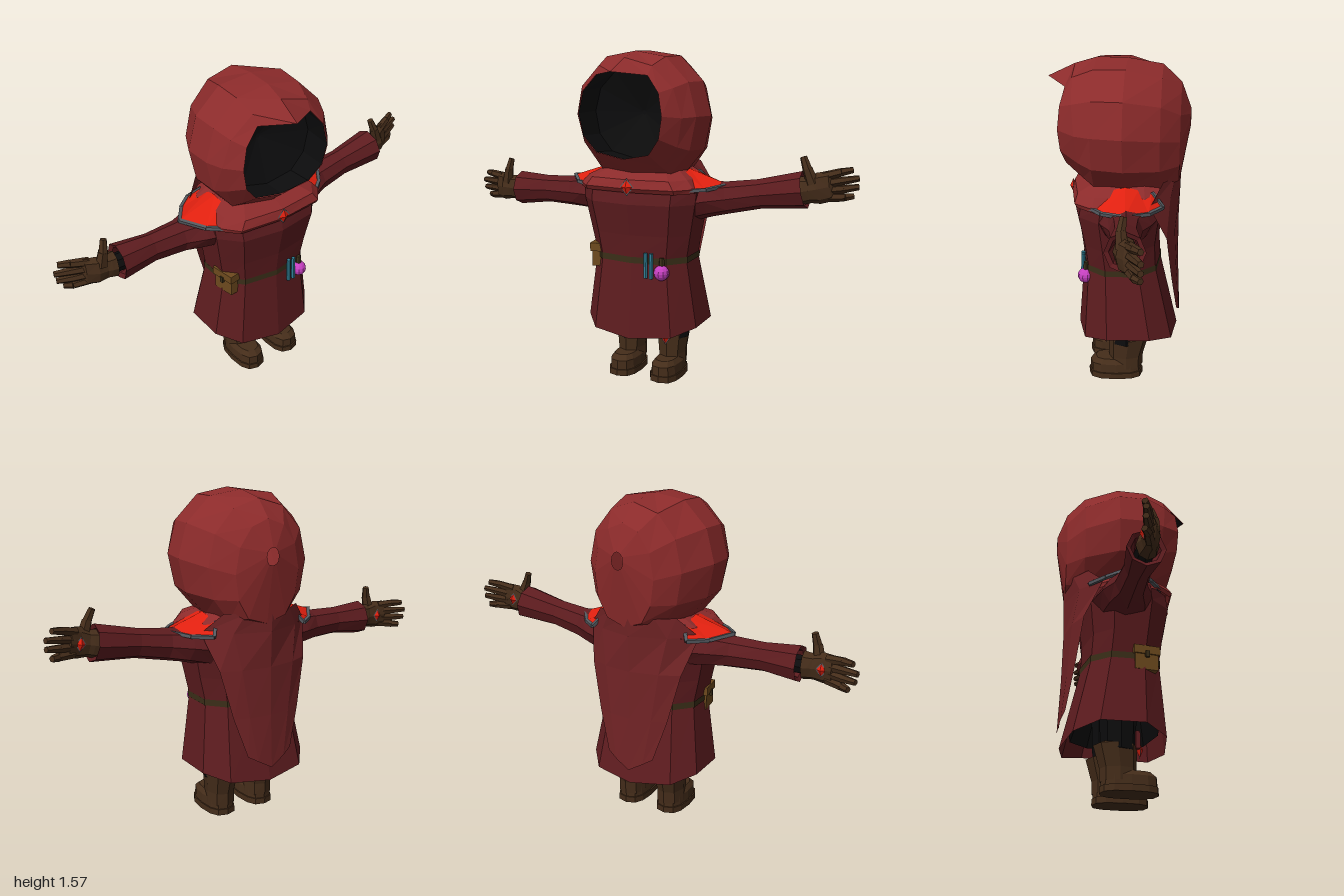
import * as THREE from 'three';

const V = (x, y, z) => new THREE.Vector3(x, y, z);
const mat = (color) => new THREE.MeshStandardMaterial({ color, flatShading: true, side: THREE.DoubleSide });
const M = {
  robe: mat(0x5e1c1f), hood: mat(0x8c2b2b), cape: mat(0x702325), black: mat(0x0c0c0d), leather: mat(0x452d1a),
  pouch: mat(0x6e4a1e), belt: mat(0x3a2e18), red: mat(0xe0200f), trim: mat(0x555a60),
  vial: mat(0x2f7f95), potion: mat(0xc540c0),
};

function add(parent, name, geo, material, pos = [0, 0, 0]) {
  const m = new THREE.Mesh(geo, material);
  m.name = name;
  m.position.set(...pos);
  parent.add(m);
  return m;
}

// Surface through a list of cross-sections with equal point counts
function loft(rows, closed = true) {
  const n = rows[0].length, idx = [];
  for (let r = 0; r < rows.length - 1; r++)
    for (let i = 0; i < (closed ? n : n - 1); i++) {
      const a = r * n + i, b = r * n + (i + 1) % n;
      idx.push(a, a + n, b, b, a + n, b + n);
    }
  const g = new THREE.BufferGeometry().setFromPoints(rows.flat());
  g.setIndex(idx);
  const out = g.toNonIndexed();
  out.computeVertexNormals();
  return out;
}

const ring = (n, f) => Array.from({ length: n }, (_, i) => f(i / n * Math.PI * 2));
// Signed power, below 1 squares off a round section
const pow = (v, p) => Math.sign(v) * Math.abs(v) ** p;
// Level ring around the body: height, centre x, half depth, half width, hem drop at front and back
const level = ([y, cx, rx, rz, drop = 0], n = 10, p = 0.75) =>
  ring(n, (a) => V(cx + rx * pow(Math.cos(a), p), y - drop * Math.cos(a) ** 2, rz * 1.04 * pow(Math.sin(a), p)));
// Upright ring facing z
const tubeRing = ([z, y, rx, ry, x = 0], n = 8) =>
  ring(n, (a) => V(x + rx * Math.cos(a), y + ry * Math.sin(a), z));

// Tapered rod between two points
function rod(parent, name, a, b, r0, r1, material, sides = 6) {
  const d = b.clone().sub(a);
  const m = add(parent, name, new THREE.CylinderGeometry(r1, r0, d.length(), sides), material);
  m.position.copy(a).addScaledVector(d, 0.5);
  m.quaternion.setFromUnitVectors(V(0, 1, 0), d.normalize());
}

// Diamond gem on a slightly larger metal setting, facing +x
function gem(parent, name, pos, w, h) {
  const g = new THREE.Group();
  g.name = name;
  g.position.set(...pos);
  add(g, 'setting', new THREE.OctahedronGeometry(1), M.trim).scale.set(0.006, h * 1.15, w * 1.15);
  add(g, 'stone', new THREE.OctahedronGeometry(1), M.red).scale.set(0.016, h, w);
  parent.add(g);
}

function makeHood() {
  const hood = new THREE.Group();
  hood.name = 'hood';
  // Upright section: x, bottom, top, half width; the lower half is squarer than the upper
  const section = ([x, lo, hi, w], tilt = 0, upper = 1, lower = 0.75) => ring(12, (a) => {
    const y = Math.min((lo + hi) / 2 + (hi - lo) / 2 * Math.cos(a), 1.565);
    return V(x + tilt * (y - 1.28), y, w * pow(Math.sin(a), Math.cos(a) < 0 ? lower : upper));
  });
  const rows = [[-0.33, 1.26, 1.34, 0.03], [-0.285, 0.99, 1.46, 0.16], [-0.2, 0.96, 1.54, 0.25],
    [-0.04, 0.96, 1.585, 0.32], [0.1, 0.97, 1.58, 0.31]].map((r) => section(r));
  const rim = section([0.255, 1.08, 1.485, 0.217], 0, 0.7, 0.65);
  rim.forEach((p) => { p.x -= 0.8 * (p.y - 1.28) ** 2; });
  // Pointed brow
  rim[0].x = 0.325;
  rim[0].y = 1.475;
  rows.push(section([0.175, 1.01, 1.535, 0.275], 0.1), rim);
  add(hood, 'hoodShell', loft(rows), M.hood);
  // Dark hollow inside the opening
  add(hood, 'hoodLining', loft([rim.map((p) => p.clone().add(V(-0.004, 0, 0))),
    section([0.1, 1.07, 1.5, 0.22]), section([0.02, 1.27, 1.29, 0.01]), ring(12, () => V(0.02, 1.28, 0))]), M.black);
  hood.rotation.y = -0.08;
  return hood;
}

// Arm reaching along +z from the shoulder, mirrored with side = -1
function makeArm(side, lift, cuff) {
  const arm = new THREE.Group();
  arm.name = side > 0 ? 'leftArm' : 'rightArm';
  add(arm, 'sleeve', loft([[-0.1, 0, 0.15, 0.1], [0.04, 0, 0.115, 0.085], [0.13, -0.005, 0.075, 0.075],
    [0.28, -0.005, 0.063, 0.068], [cuff, -0.01, 0.085, 0.085], [cuff - 0.01, -0.01, 0.065, 0.065],
    [0.36, -0.008, 0.045, 0.045]].map((r) => tubeRing(r))), M.robe);
  rod(arm, 'wrist', V(0, -0.01, 0.36), V(0, -0.012, 0.49), 0.043, 0.043, M.black, 8);
  add(arm, 'palm', loft([[0.465, -0.012, 0.001, 0.001], [0.465, -0.012, 0.05, 0.066],
    [0.49, -0.012, 0.044, 0.062], [0.51, -0.012, 0.036, 0.06], [0.55, -0.01, 0.036, 0.07],
    [0.6, -0.008, 0.026, 0.068, -0.018], [0.615, -0.008, 0.001, 0.03, -0.02]]
    .map((r) => tubeRing(r))), M.leather);
  [[-0.062, 0.685], [-0.028, 0.715], [0.006, 0.722], [0.042, 0.7]].forEach(([y, end]) => {
    const knuckle = V(-0.038, y * 1.08, 0.65);
    rod(arm, 'fingerBase', V(-0.014, y * 0.9, 0.575), knuckle, 0.022, 0.019, M.leather);
    rod(arm, 'fingerTip', knuckle, V(-0.06, y * 1.12, end), 0.019, 0.014, M.leather);
  });
  rod(arm, 'thumbBase', V(0.01, 0.015, 0.53), V(0.016, 0.085, 0.517), 0.03, 0.023, M.leather);
  rod(arm, 'thumbTip', V(0.016, 0.08, 0.517), V(0.006, 0.138, 0.505), 0.022, 0.016, M.leather);
  gem(arm, 'handGem', [-0.036, -0.01, 0.555], 0.022, 0.03);
  arm.scale.z = side;
  arm.position.set(-0.035, 0.877, side * 0.28);
  arm.rotation.x = lift;
  return arm;
}

// Ridged shoulder plate with a metal edge
function makePauldron(side) {
  const g = new THREE.Group();
  g.name = side > 0 ? 'leftShoulderPlate' : 'rightShoulderPlate';
  const edge = [[-0.2, 0.94, 0.25], [-0.135, 0.94, 0.33], [-0.03, 0.955, 0.405], [0.075, 0.94, 0.33],
    [0.14, 0.94, 0.25]].map(([x, y, z]) => V(x, y, z * side));
  const crest = [-0.15, -0.09, -0.03, 0.03, 0.09].map((x) => V(x, 1.02 - Math.abs(x + 0.03) * 0.2, 0.21 * side));
  add(g, 'plate', loft([edge, crest], false), M.red);
  const path = [crest[0], ...edge, crest[4]];
  for (let i = 0; i < path.length - 1; i++) rod(g, 'plateTrim', path[i], path[i + 1], 0.011, 0.011, M.trim, 4);
  return g;
}

function makeLeg(z) {
  const leg = new THREE.Group();
  leg.name = z > 0 ? 'leftLeg' : 'rightLeg';
  add(leg, 'trouser', new THREE.CylinderGeometry(0.09, 0.08, 0.3, 8), M.black, [-0.035, 0.34, 0]);
  add(leg, 'bootShaft', loft([[0.05, -0.035, 0.082, 0.064], [0.11, -0.035, 0.084, 0.063],
    [0.215, -0.048, 0.1, 0.075], [0.225, -0.048, 0.08, 0.06], [0.225, -0.048, 0.001, 0.001]]
    .map((r) => level(r, 8, 0.9))), M.leather);
  // Foot and sole as rounded plan shapes
  const plan = (y, length, width) => ring(12, (a) =>
    V(0.015 + length * pow(Math.cos(a), 0.8), y, width * pow(Math.sin(a), 0.7)));
  add(leg, 'foot', loft([plan(0.025, 0.127, 0.069), plan(0.075, 0.127, 0.066), plan(0.098, 0.1, 0.05),
    plan(0.1, 0.001, 0.001)]), M.leather);
  add(leg, 'sole', loft([plan(0, 0.001, 0.001), plan(0, 0.133, 0.075), plan(0.03, 0.133, 0.075),
    plan(0.03, 0.1, 0.06)]), M.leather);
  // Knee flap with a gem
  add(leg, 'kneeFlap', new THREE.BoxGeometry(0.02, 0.08, 0.07), M.robe, [0.05, 0.245, 0]);
  gem(leg, 'kneeGem', [0.064, 0.205, 0], 0.024, 0.035);
  leg.position.z = z;
  return leg;
}

export function createModel() {
  const root = new THREE.Group();
  root.name = 'hoodedMage';

  // Robe, flaring to an uneven hem
  add(root, 'robe', loft([[0.275, -0.045, 0.245, 0.285, 0.055], [0.6, -0.015, 0.185, 0.235],
    [0.72, -0.005, 0.19, 0.257], [0.87, 0, 0.215, 0.285], [0.94, -0.005, 0.205, 0.29],
    [1.0, -0.03, 0.15, 0.2]].map((r) => level(r))), M.robe);
  add(root, 'robeInside', loft([[0.31, -0.04, 0.21, 0.25], [0.45, -0.03, 0.17, 0.2],
    [0.46, -0.03, 0.001, 0.001]].map((r) => level(r))), M.black);

  // Broad squared collar
  add(root, 'collar', loft([[0.925, 0, 0.21, 0.285], [0.945, 0.002, 0.222, 0.285],
    [0.985, -0.005, 0.215, 0.25], [1.02, -0.03, 0.16, 0.19]].map((r) => level(r, 10, 0.55))), M.hood);
  gem(root, 'collarGem', [0.218, 0.952, 0], 0.03, 0.036);

  // Cape hanging from the shoulders to a narrow tail: height, edge x, middle x, half width
  const capeRows = [[1.04, -0.2, -0.292, 0.2], [0.95, -0.14, -0.29, 0.285], [0.78, -0.22, -0.285, 0.235],
    [0.55, -0.25, -0.29, 0.18], [0.29, -0.28, -0.302, 0.12]].map(([y, ex, mx, w]) =>
    [-1, -0.6, 0, 0.6, 1].map((t) => V(mx + (ex - mx) * t * t, y + 0.07 * Math.abs(t) * (y < 0.5), w * t)));
  add(root, 'cape', loft(capeRows, false), M.cape);

  root.add(makeHood(), makeArm(1, 0, 0.45), makeArm(-1, 0.18, 0.49), makePauldron(1), makePauldron(-1),
    makeLeg(0.09), makeLeg(-0.13));

  // Belt with a pouch, two vials and a round flask
  add(root, 'belt', loft([0.585, 0.615].map((y) => level([y, -0.015, 0.19, 0.241]))), M.belt);
  const pouch = new THREE.Group();
  pouch.name = 'pouch';
  add(pouch, 'pouchBody', new THREE.BoxGeometry(0.11, 0.09, 0.06), M.pouch, [0, -0.015, 0]);
  add(pouch, 'pouchLid', new THREE.BoxGeometry(0.125, 0.04, 0.075), M.pouch, [0, 0.034, 0]);
  add(pouch, 'clasp', new THREE.BoxGeometry(0.018, 0.03, 0.012), M.belt, [0, 0.012, 0.038]);
  pouch.position.set(0.065, 0.597, 0.212);
  pouch.rotation.y = 0.15;
  root.add(pouch);
  [-0.075, -0.103].forEach((z) =>
    rod(root, 'vial', V(0.175, 0.52, z), V(0.172, 0.64, z), 0.01, 0.01, M.vial));
  add(root, 'flask', new THREE.SphereGeometry(0.037, 10, 8), M.potion, [0.16, 0.55, -0.15]);
  rod(root, 'flaskNeck', V(0.158, 0.58, -0.15), V(0.155, 0.62, -0.15), 0.014, 0.012, M.belt);
  return root;
}
